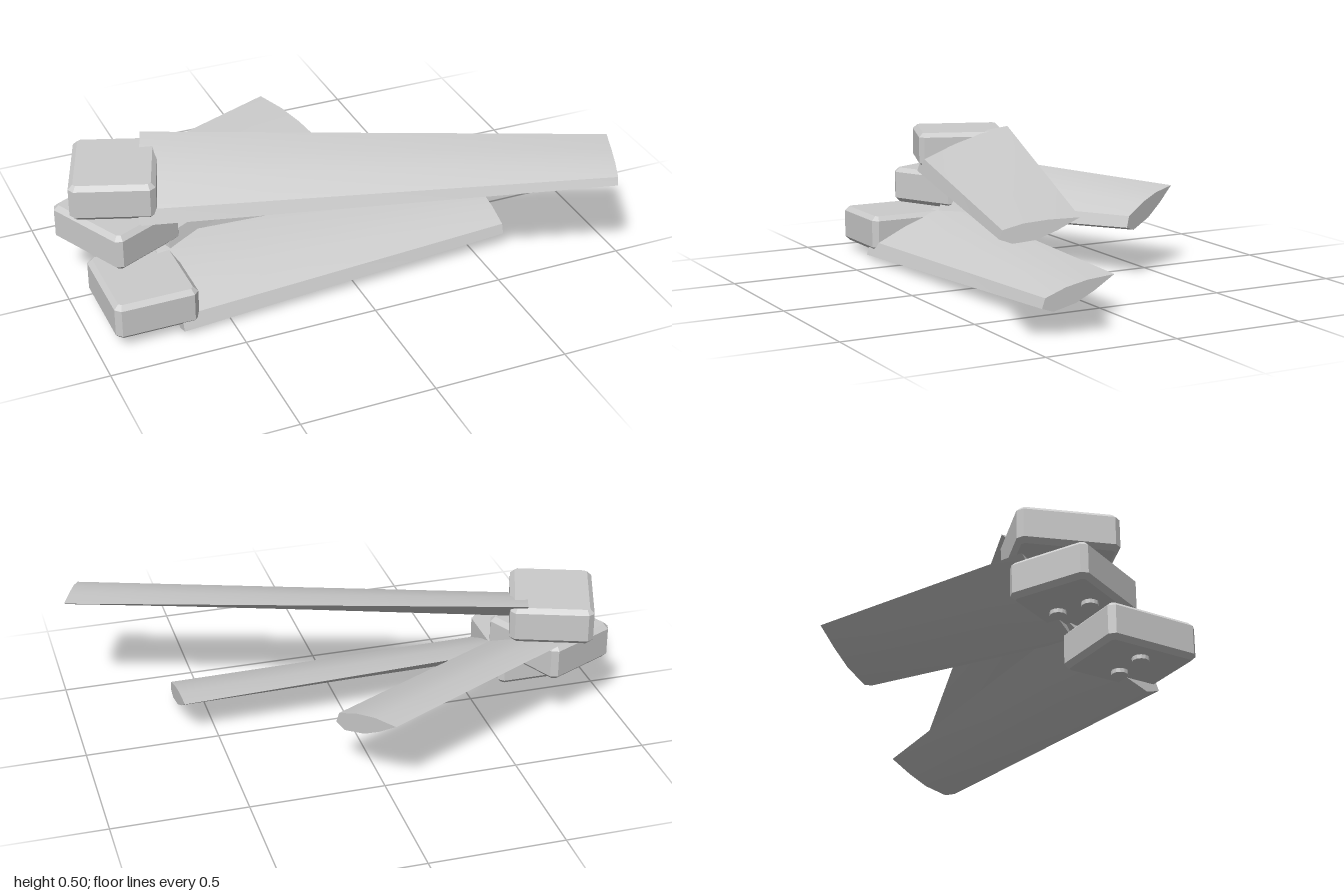
import * as THREE from 'three';
import { toCreasedNormals } from 'three/addons/utils/BufferGeometryUtils.js';

const material = new THREE.MeshStandardMaterial({ color: 0xcccccc });
const flat = new THREE.MeshStandardMaterial({ color: 0xcccccc, flatShading: true });

// Blade cross-sections as [z, y], from the nose over the top to the trailing edge and back below
const ROOT_AT = 0.09, FULL_LENGTH = 1.82;
const ROOT = [[0.135, -0.035], [0.185, -0.02], [0.165, 0.035], [0.04, 0.095],
  [-0.067, 0.135], [-0.185, 0.155], [-0.09, 0.08], [0.0, 0.02]];
const TIP = [[0.045, 0.02], [0.088, 0.035], [0.078, 0.065], [0.01, 0.085],
  [-0.07, 0.095], [-0.173, 0.10], [-0.10, 0.06], [-0.03, 0.03]];

// Twisted, tapering loft, cut off square at the given length
function bladeGeometry(length, spans = 4) {
  const n = ROOT.length, positions = [], index = [];
  for (let i = 0; i <= spans; i++) {
    const x = THREE.MathUtils.lerp(ROOT_AT, length, i / spans);
    const t = (x - ROOT_AT) / (FULL_LENGTH - ROOT_AT);
    ROOT.forEach(([z, y], j) => positions.push(x,
      THREE.MathUtils.lerp(y, TIP[j][1], t), THREE.MathUtils.lerp(z, TIP[j][0], t)));
  }
  for (let i = 0; i < spans; i++) {
    for (let j = 0; j < n; j++) {
      const a = i * n + j, b = i * n + (j + 1) % n;
      index.push(a, a + n, b, b, a + n, b + n);
    }
  }
  // End caps
  const end = spans * n;
  for (let j = 1; j < n - 1; j++) {
    index.push(0, j, j + 1, end, end + j + 1, end + j);
  }
  const geometry = new THREE.BufferGeometry();
  geometry.setAttribute('position', new THREE.Float32BufferAttribute(positions, 3));
  geometry.setIndex(index);
  return toCreasedNormals(geometry, 0.45);
}

// Block with every edge chamfered, standing on y = 0
function hubGeometry(length, height, depth, c) {
  const x = length / 2 - c, z = depth / 2 - c, k = c * 0.6;
  const shape = new THREE.Shape([[x, -z + k], [x, z - k], [x - k, z], [-x + k, z],
    [-x, z - k], [-x, -z + k], [-x + k, -z], [x - k, -z]].map(p => new THREE.Vector2(...p)));
  const geometry = new THREE.ExtrudeGeometry(shape, {
    depth: height - 2 * c, bevelEnabled: true, bevelThickness: c, bevelSize: c, bevelSegments: 1,
  });
  return geometry.rotateX(-Math.PI / 2).translate(0, c, 0);
}

function add(parent, name, geometry, mat) {
  const mesh = new THREE.Mesh(geometry, mat);
  mesh.name = name;
  parent.add(mesh);
  return mesh;
}

// One piece: hub block, blade, and two pegs underneath
function bladeUnit(name, length) {
  const unit = new THREE.Group();
  unit.name = name;
  add(unit, 'hub', hubGeometry(0.31, 0.14, 0.36, 0.017), flat);
  add(unit, 'blade', bladeGeometry(length), material);
  for (const x of [-0.063, 0.063]) {
    const peg = add(unit, 'peg', new THREE.CylinderGeometry(0.03, 0.03, 0.03, 12), flat);
    peg.position.set(x, 0, 0);
  }
  return unit;
}

export function createModel() {
  const model = new THREE.Group();
  model.name = 'stackedBlades';
  // name, blade length, hub position, turn in degrees
  const units = [
    ['lowerBladeUnit', 1.395, [-0.775, 0.037, 0.19], 0],
    ['middleBladeUnit', 0.96, [-0.79, 0.191, -0.045], 25.5],
    ['upperBladeUnit', 1.82, [-0.775, 0.346, -0.088], -20],
  ];
  for (const [name, length, position, turn] of units) {
    const unit = bladeUnit(name, length);
    unit.position.set(...position);
    unit.rotation.y = THREE.MathUtils.degToRad(turn);
    model.add(unit);
  }
  return model;
}
